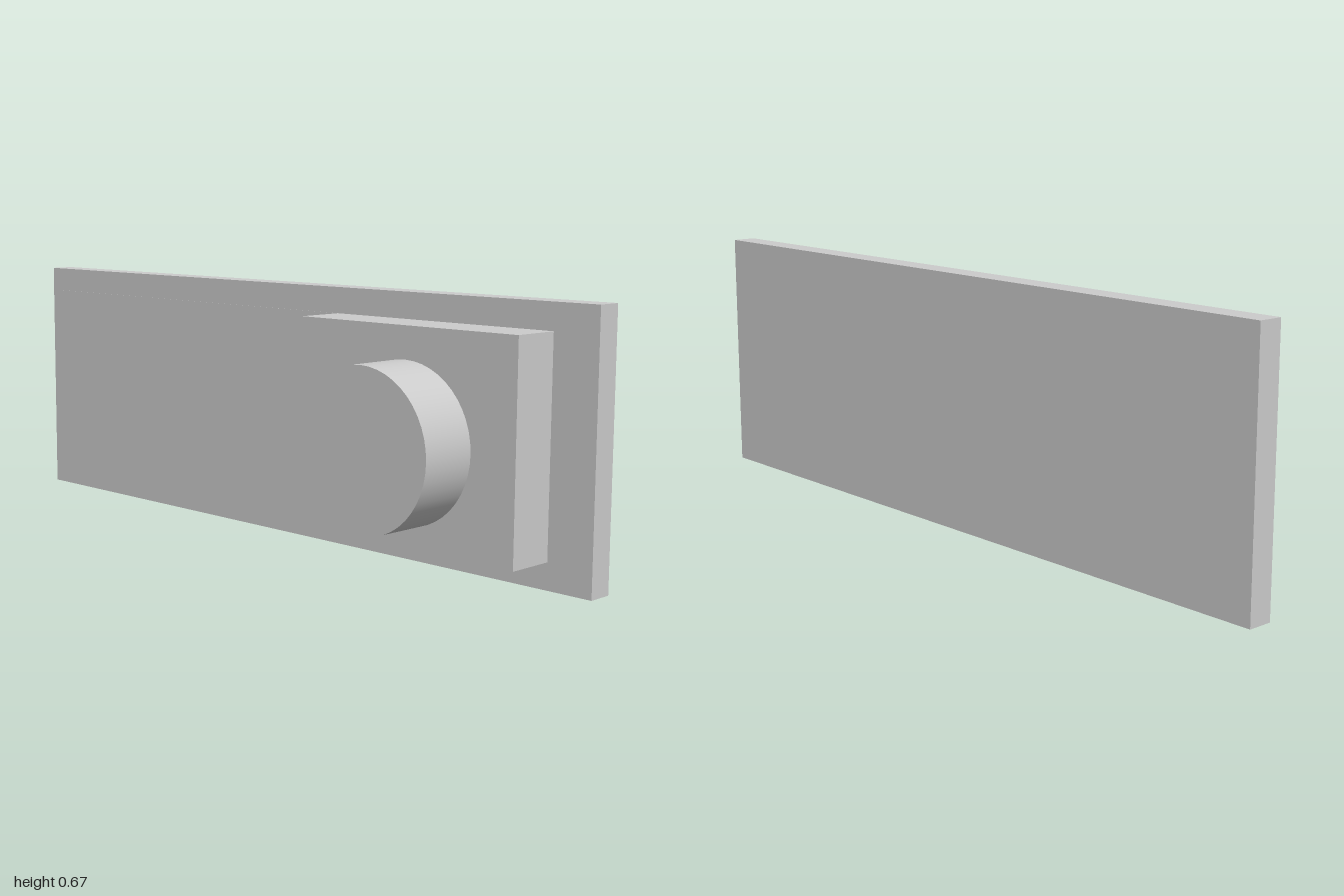
import * as THREE from 'three';

export function createModel() {
  const group = new THREE.Group();
  const material = new THREE.MeshStandardMaterial({ color: 0xcccccc });

  // Box given by its minimum and maximum corners
  function box(name, [x0, y0, z0], [x1, y1, z1]) {
    const mesh = new THREE.Mesh(new THREE.BoxGeometry(x1 - x0, y1 - y0, z1 - z0), material);
    mesh.position.set((x0 + x1) / 2, (y0 + y1) / 2, (z0 + z1) / 2);
    mesh.name = name;
    group.add(mesh);
  }

  // Long upright plate
  box('backPlate', [0.109, 0, -1], [0.175, 0.667, 1]);
  // Thin panel almost flush with the plate
  box('inlayPanel', [0.108, 0.067, -0.98], [0.13, 0.6, 0.212]);
  // Raised block carrying the knob
  box('mountingBlock', [-0.02, 0.067, 0.21], [0.109, 0.6, 0.877]);

  // Round knob, axis along x
  const knobGeometry = new THREE.CylinderGeometry(0.2, 0.2, 0.156, 48);
  knobGeometry.rotateZ(Math.PI / 2);
  const knob = new THREE.Mesh(knobGeometry, material);
  knob.position.set(-0.098, 0.319, 0.55);
  knob.name = 'knob';
  group.add(knob);

  return group;
}
